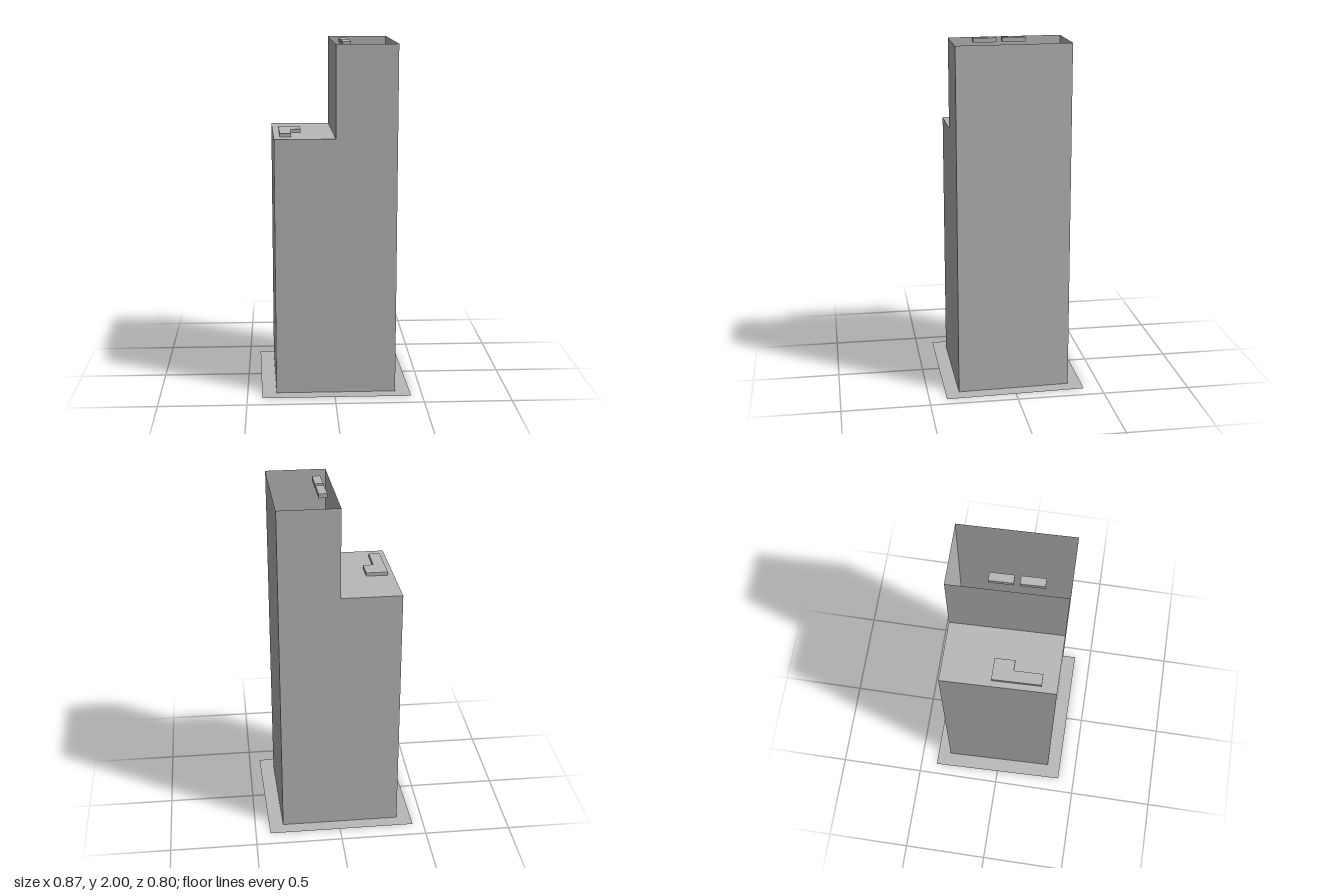
import * as THREE from 'three';

const concrete = new THREE.MeshStandardMaterial({ color: 0xb8b8b8, side: THREE.DoubleSide });
concrete.name = 'concrete grey';

// Plan outlines are lists of [x, z], running clockwise seen from above.
const toShape = (plan) => new THREE.Shape(plan.map(([x, z]) => new THREE.Vector2(x, -z)));

function addMesh(group, name, geometry) {
  const mesh = new THREE.Mesh(geometry, concrete);
  mesh.name = name;
  group.add(mesh);
}

// Flat horizontal sheet, optionally with an opening
function sheet(plan, y, hole) {
  const shape = toShape(plan);
  if (hole) shape.holes.push(toShape(hole));
  return new THREE.ShapeGeometry(shape).rotateX(-Math.PI / 2).translate(0, y, 0);
}

// Solid prism over a plan outline
function prism(plan, y0, y1) {
  return new THREE.ExtrudeGeometry(toShape(plan), { depth: y1 - y0, bevelEnabled: false })
    .rotateX(-Math.PI / 2).translate(0, y0, 0);
}

// Open vertical walls along a path of plan points
function walls(path, height) {
  const positions = [];
  for (let i = 0; i < path.length - 1; i++) {
    const [ax, az] = path[i], [bx, bz] = path[i + 1];
    positions.push(ax, 0, az, ax, height, az, bx, height, bz);
    positions.push(ax, 0, az, bx, height, bz, bx, 0, bz);
  }
  const geometry = new THREE.BufferGeometry();
  geometry.setAttribute('position', new THREE.Float32BufferAttribute(positions, 3));
  geometry.computeVertexNormals();
  return geometry;
}

export function createModel() {
  const group = new THREE.Group();
  group.name = 'towerBlock';

  const roofY = 1.475, topY = 1.995;
  const midBack = [-0.01, -0.322], midFront = [0.007, 0.321];
  const leftBack = [0.334, -0.322], leftFront = [0.351, 0.321];
  const rightBack = [-0.352, -0.322], rightFront = [-0.334, 0.321];

  // Pavement around the footprint
  addMesh(group, 'pavement', sheet(
    [[-0.437, -0.4], [0.415, -0.4], [0.437, 0.4], [-0.415, 0.4]], 0,
    [rightBack, leftBack, leftFront, rightFront]));

  // Tall half, open at the top and bottom
  addMesh(group, 'tallTowerWalls', walls([midBack, leftBack, leftFront, midFront, midBack], topY));

  // Lower half with its roof
  addMesh(group, 'lowTowerWalls', walls([midFront, rightFront, rightBack, midBack], roofY));
  addMesh(group, 'lowTowerRoof', sheet([rightBack, midBack, midFront, rightFront], roofY));

  // L-shaped plant room on the lower roof
  addMesh(group, 'roofPlantRoom', prism([
    [-0.31, -0.04], [-0.186, -0.04], [-0.182, 0.073],
    [-0.242, 0.073], [-0.238, 0.234], [-0.302, 0.234]], roofY, 1.495));

  // Pair of slabs level with the top of the tall half
  for (const [x, z] of [[0.041, -0.105], [0.046, 0.058]]) {
    addMesh(group, 'topSlab', prism(
      [[x, z], [x + 0.047, z], [x + 0.051, z + 0.132], [x + 0.004, z + 0.132]], 1.975, 2));
  }

  return group;
}
